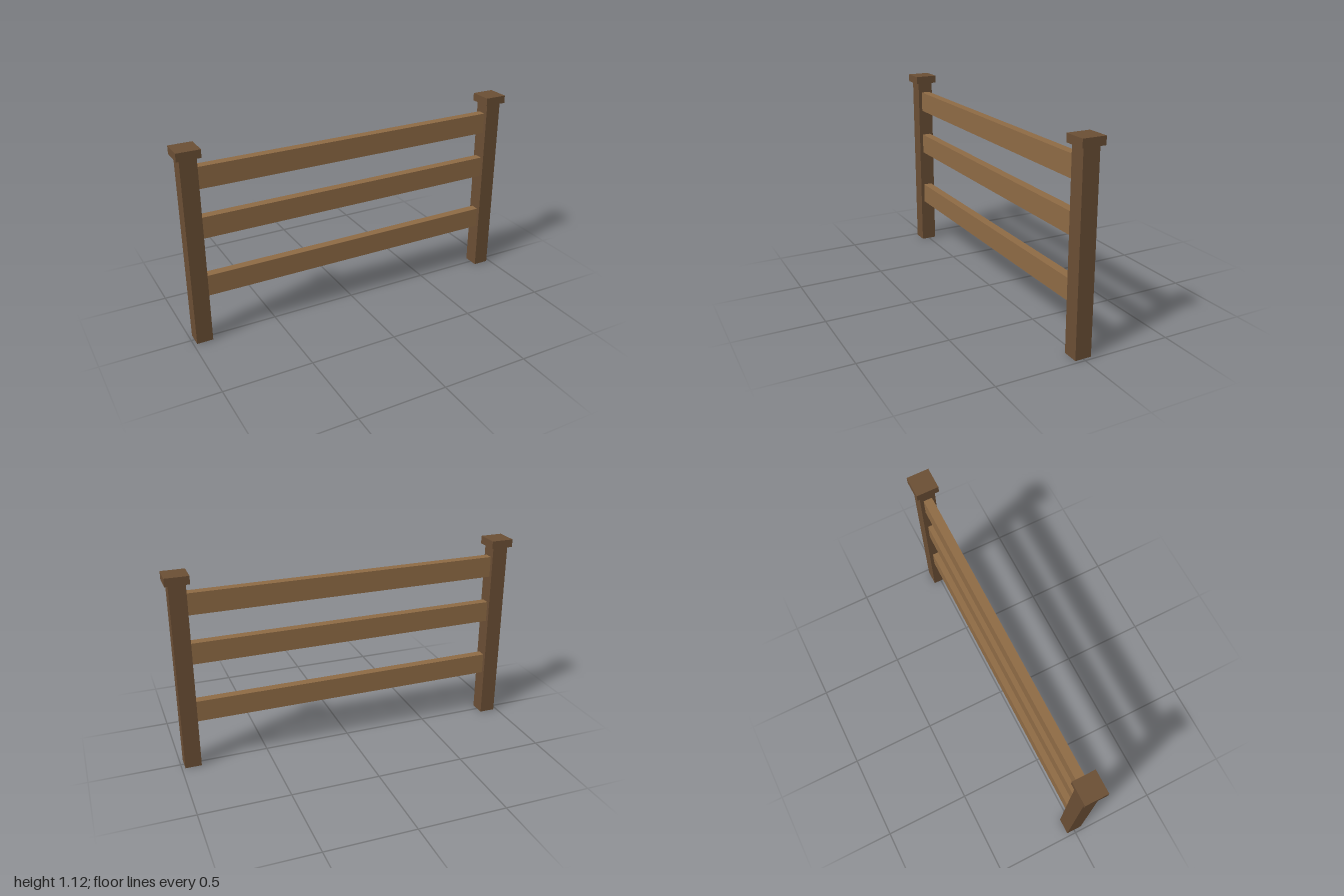
import * as THREE from 'three';

export function createModel() {
  const model = new THREE.Group();
  model.name = 'fence';

  const postWood = new THREE.MeshStandardMaterial({ color: 0x6b4f35 });
  postWood.name = 'dark wood';
  const railWood = new THREE.MeshStandardMaterial({ color: 0x8f6b45 });
  railWood.name = 'light wood';

  function box(name, parent, material, [w, h, d], [x, y, z]) {
    const mesh = new THREE.Mesh(new THREE.BoxGeometry(w, h, d), material);
    mesh.name = name;
    mesh.position.set(x, y, z);
    parent.add(mesh);
  }

  // Square posts with overhanging flat caps
  const postX = 0.935, postWidth = 0.092, postHeight = 1.077;
  const capWidth = 0.13, capHeight = 0.045;
  for (const [side, name] of [[1, 'leftPost'], [-1, 'rightPost']]) {
    const post = new THREE.Group();
    post.name = name;
    post.position.x = side * postX;
    box('postShaft', post, postWood, [postWidth, postHeight, postWidth], [0, postHeight / 2, 0]);
    box('postCap', post, postWood, [capWidth, capHeight, capWidth], [0, postHeight + capHeight / 2, 0]);
    model.add(post);
  }

  // Three horizontal rails running between the inner post faces
  const railLength = 2 * postX - postWidth;
  const rails = { lowerRail: 0.33, middleRail: 0.675, upperRail: 0.956 };
  for (const [name, y] of Object.entries(rails)) {
    box(name, model, railWood, [railLength, 0.121, 0.05], [0, y, 0]);
  }

  return model;
}
